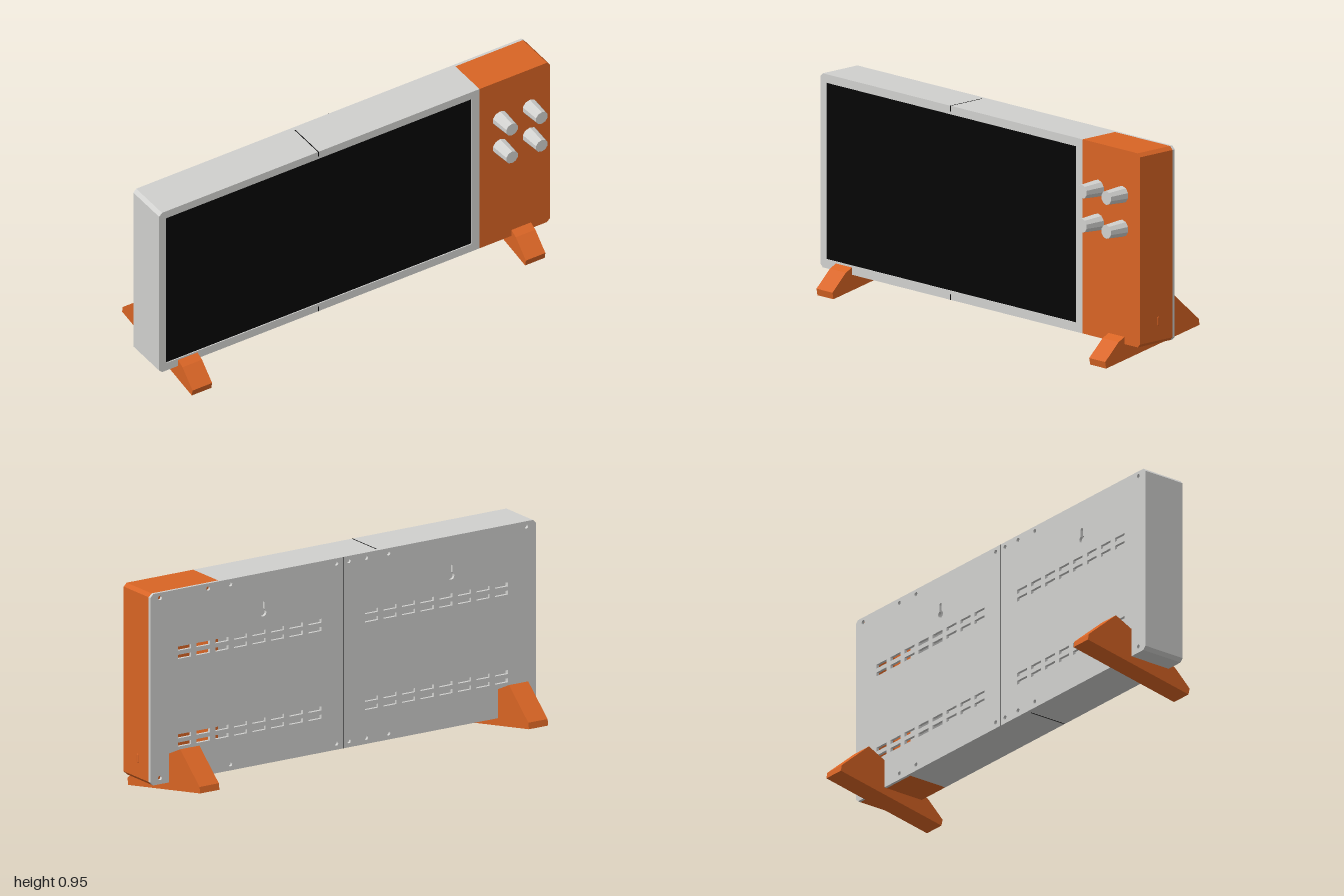
import * as THREE from 'three';

const mat = (name, color, side = THREE.FrontSide) => {
  const m = new THREE.MeshStandardMaterial({ color, side });
  m.name = name;
  return m;
};

// Rectangle path with chamfered corners on the left (cl) and right (cr)
function chamferRect(x0, x1, y0, y1, cl = 0, cr = 0) {
  const pts = [
    [x0 + cl, y0], [x1 - cr, y0], [x1, y0 + cr], [x1, y1 - cr],
    [x1 - cr, y1], [x0 + cl, y1], [x0, y1 - cl], [x0, y0 + cl],
  ].map(([x, y]) => new THREE.Vector2(x, y));
  return pts.filter((p, i) => p.distanceTo(pts[(i + 1) % pts.length]) > 1e-6);
}

function rectHole(x0, x1, y0, y1) {
  return new THREE.Path(chamferRect(x0, x1, y0, y1));
}

// Extrude a shape from z0 to z1
function slab(shape, z0, z1, curveSegments = 6) {
  const g = new THREE.ExtrudeGeometry(shape, { depth: z1 - z0, bevelEnabled: false, curveSegments });
  return g.translate(0, 0, z0);
}

export function createModel() {
  const root = new THREE.Group();
  root.name = 'tabletopDisplay';
  const grey = mat('lightGrey', 0xd0d0ce);
  const orange = mat('orange', 0xd86424);
  const black = mat('black', 0x050505);

  const add = (name, geo, material, x = 0, y = 0, z = 0, parent = root) => {
    const m = new THREE.Mesh(geo, material);
    m.name = name;
    m.position.set(x, y, z);
    parent.add(m);
    return m;
  };
  const box = (name, material, x0, x1, y0, y1, z0, z1) =>
    add(name, new THREE.BoxGeometry(x1 - x0, y1 - y0, z1 - z0), material,
      (x0 + x1) / 2, (y0 + y1) / 2, (z0 + z1) / 2);

  const Y0 = 0.09, Y1 = 0.95, BACK = -0.04, PLATE = -0.027, FRONT = 0.165, C = 0.015;

  // Screen housing: hollow frame around the screen
  const frame = new THREE.Shape(chamferRect(-1, 0.64, Y0, Y1, C, 0));
  frame.holes.push(rectHole(-0.965, 0.6, 0.13, 0.912));
  add('screenFrame', slab(frame, PLATE, FRONT), grey);

  // Screen with its backing panel
  box('screen', black, -0.966, 0.601, 0.129, 0.913, 0.152, 0.16);
  box('screenBacking', grey, -0.966, 0.601, 0.129, 0.913, 0.142, 0.151);

  // Control housing: hollow shell and solid front panel
  const shell = new THREE.Shape(chamferRect(0.64, 1, Y0, Y1, 0, C));
  shell.holes.push(rectHole(0.66, 0.965, 0.13, 0.912));
  add('controlShell', slab(shell, PLATE, 0.145), orange);
  add('controlPanel', slab(new THREE.Shape(chamferRect(0.64, 1, Y0, Y1, 0, C)), 0.145, FRONT), orange);

  // Small capsule-shaped detail on the side of the control housing
  const tab = add('sideTab', new THREE.CapsuleGeometry(0.007, 0.028, 3, 8), orange, 1, 0.19, 0.058);
  tab.scale.x = 0.3;

  // Back plate with vents, screw holes and hanging keyholes
  const back = new THREE.Shape(chamferRect(-1, 1, Y0, Y1, C, C));
  for (const s of [-1, 1]) {
    for (let i = 0; i < 8; i++) {
      const x = s * (0.147 + i * 0.0965);
      for (const y of [0.683, 0.646, 0.289, 0.252]) {
        back.holes.push(rectHole(x - 0.034, x + 0.034, y - 0.009, y + 0.009));
      }
    }
  }
  const screwX = [0.95, 0.7, 0.585, 0.035, -0.03, -0.12, -0.235, -0.95];
  for (const y of [0.927, 0.118]) {
    for (const x of screwX) {
      back.holes.push(new THREE.Path().absarc(x, y, 0.01, 0, Math.PI * 2, true));
    }
  }
  for (const x of [0.415, -0.56]) {
    const key = new THREE.Path();
    key.moveTo(x - 0.008, 0.815);
    key.lineTo(x - 0.008, 0.785);
    key.absarc(x, 0.77, 0.017, Math.PI * 0.66, Math.PI * 2.34, false);
    key.lineTo(x + 0.008, 0.815);
    key.absarc(x, 0.815, 0.008, 0, Math.PI, false);
    back.holes.push(key);
  }
  add('backPlate', slab(back, BACK, PLATE), grey);

  // Fine seams between the housing halves
  const S = 0.0005, W = 0.002;
  box('backSeam', black, -W, W, Y0, Y1, BACK - S, BACK + 0.002);
  for (const [y0, y1] of [[Y1 - 0.002, Y1 + S], [Y0 - S, Y0 + 0.002]]) {
    box('housingSeam', black, -0.185 - W, -0.185 + W, y0, y1, -0.02, FRONT);
  }
  for (const [y0, y1] of [[0.925, Y1], [Y0, 0.115]]) {
    box('frontSeam', black, -0.185 - W, -0.185 + W, y0, y1, FRONT - 0.002, FRONT + S);
  }

  // Four tapered, faceted knobs on short shafts
  const knobGeo = new THREE.CylinderGeometry(0.031, 0.038, 0.095, 10).toNonIndexed();
  knobGeo.computeVertexNormals();
  knobGeo.rotateX(Math.PI / 2);
  const shaftGeo = new THREE.CylinderGeometry(0.012, 0.012, 0.02, 8).rotateX(Math.PI / 2);
  for (const x of [0.742, 0.894]) {
    for (const y of [0.753, 0.603]) {
      const knob = new THREE.Group();
      knob.name = 'knob';
      knob.position.set(x, y, 0);
      root.add(knob);
      add('knobCap', knobGeo, grey, 0, 0, 0.2175, knob);
      add('knobShaft', shaftGeo, grey, 0, 0, 0.168, knob);
    }
  }

  // Two tilted feet, notched to cradle the housing; profile is (z, y)
  const profile = [
    [0.274, 0], [0.28, 0.03], [0.2, 0.105], [FRONT, 0.122], [FRONT, Y0],
    [BACK, Y0], [BACK, 0.22], [-0.125, 0.26], [-0.274, 0.128], [-0.279, 0.1],
  ];
  const footShape = new THREE.Shape(profile.map(([z, y]) => new THREE.Vector2(-z, y)));
  const footGeo = slab(footShape, -0.05, 0.05).rotateY(Math.PI / 2);
  for (const x of [-0.853, 0.853]) add('foot', footGeo, orange, x, 0, 0);

  return root;
}
